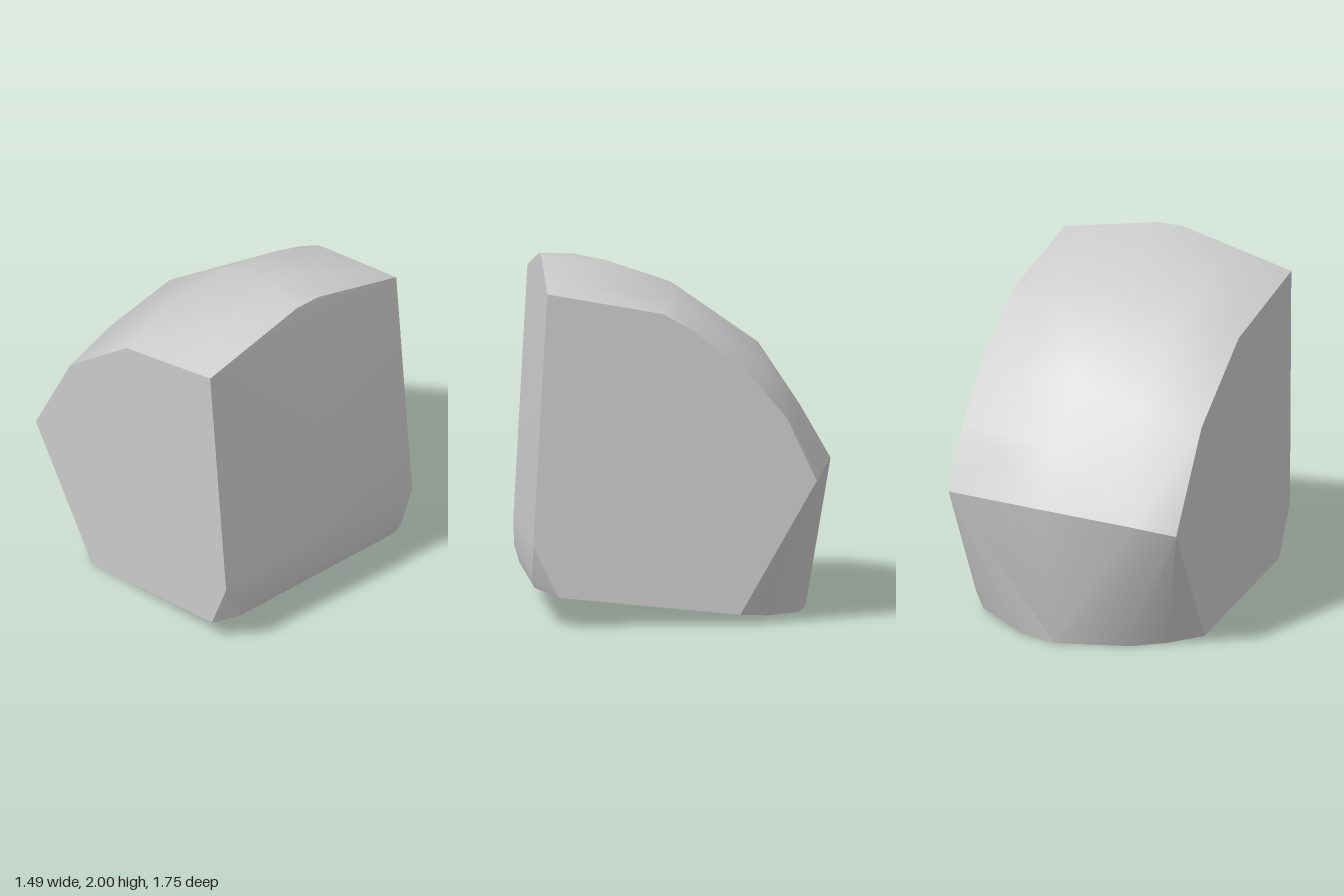
import * as THREE from 'three';
import { ConvexGeometry } from 'three/addons/geometries/ConvexGeometry.js';
import { toCreasedNormals } from 'three/addons/utils/BufferGeometryUtils.js';

export function createModel() {
  const model = new THREE.Group();
  const stone = new THREE.MeshStandardMaterial({ color: 0xcccccc });
  stone.name = 'grey stone';

  const points = [];
  const add = (x, y, z) => points.push(new THREE.Vector3(x, y, z));

  // The two cut sides are parallel, slightly tilted planes; outlines are [y, z]
  const side = (offset, outline) => {
    for (const [y, z] of outline) add(offset - 0.0322 * y + 0.0542 * z, y, z);
  };
  side(0.711, [[1.88, 0.73], [1.76, 0.08], [1.67, -0.08], [1.45, -0.37], [1.17, -0.61],
    [0.81, -0.78], [0.06, -0.35], [0.17, 0.67], [0.46, 0.81]]);
  side(-0.6845, [[1.83, 0.80], [1.67, 0.09], [1.30, -0.39], [0.75, -0.70],
    [0.004, -0.26], [0.12, 0.75], [0.41, 0.88]]);

  // Front face: top edge and the softened lower edge
  add(0.12, 2.0, 0.745);
  add(-0.04, 2.0, 0.755);
  add(0.66, 0.27, 0.815);
  add(0.63, 0.21, 0.80);
  add(-0.55, 0.27, 0.88);
  add(-0.53, 0.17, 0.85);

  // Domed top and back: left shoulder, crown and right shoulder heights at each z
  const dome = [
    [0.39, 1.90, 1.97, 1.88],
    [0.02, 1.77, 1.845, 1.80],
    [-0.47, 1.37, 1.5, 1.43],
    [-0.70, 1.0, 1.15, 1.07],
  ];
  for (const [z, left, crown, right] of dome) {
    add(-0.4, left, z);
    add(0.03, crown, z);
    add(0.4, right, z);
  }
  add(-0.41, 1.935, 0.55);
  add(0.53, 1.92, 0.58);

  // Back ridge
  add(0.01, 0.84, -0.875);
  add(-0.52, 0.80, -0.80);

  // Curved rear edge of the flat underside, as [x, z]
  for (const [x, z] of [[0.563, -0.51], [0.232, -0.69], [0.0, -0.735], [-0.40, -0.585], [-0.564, -0.44]]) {
    add(x, Math.max(0, 0.067 + 0.108 * z + 0.044 * x), z);
  }

  // Broad cuts stay sharp, the shallow facets blend
  const chunk = new THREE.Mesh(toCreasedNormals(new ConvexGeometry(points), Math.PI / 6), stone);
  chunk.name = 'rockChunk';
  model.add(chunk);
  return model;
}
